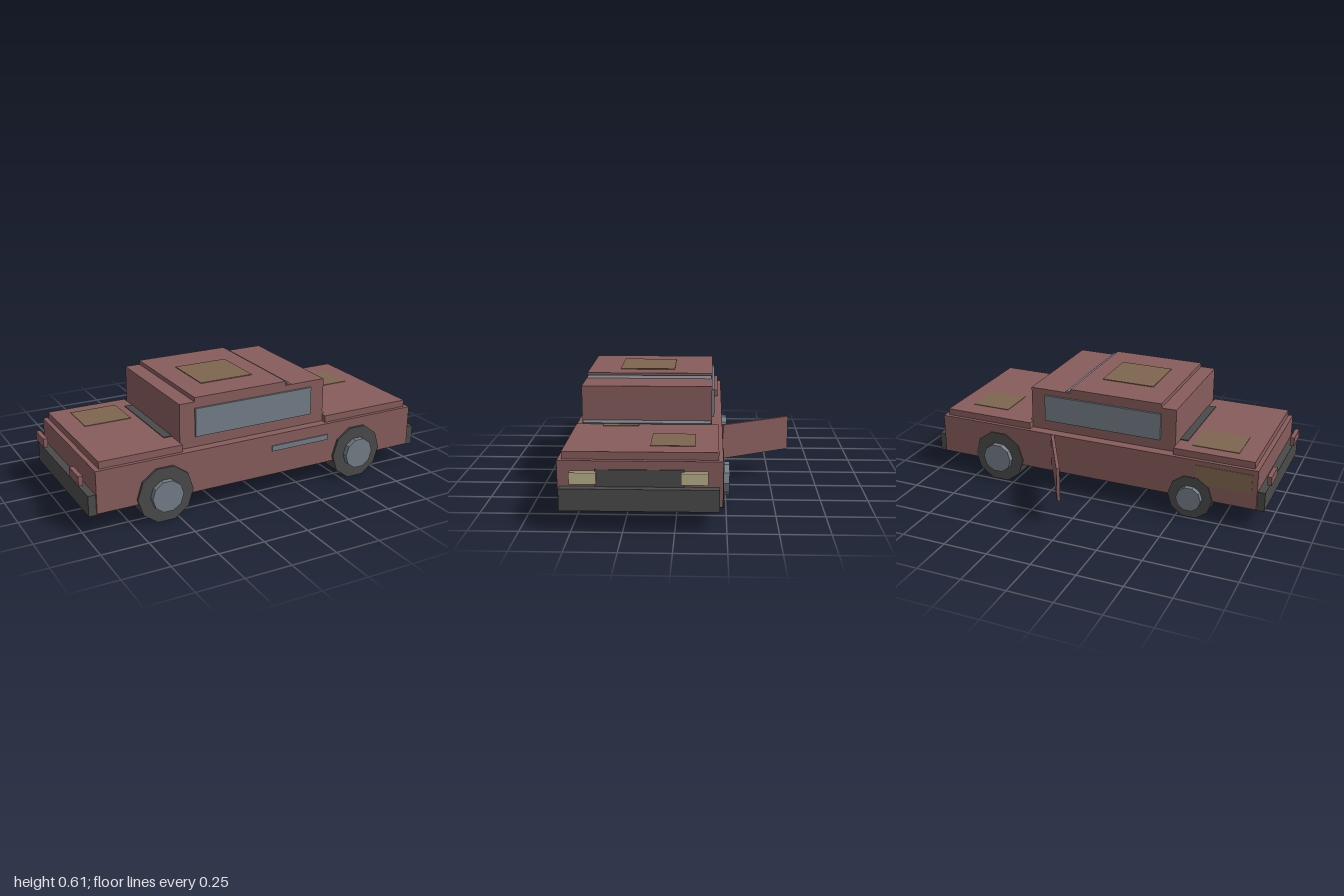
import * as THREE from 'three';

const mat = (name, color) => {
  const m = new THREE.MeshStandardMaterial({ color });
  m.name = name;
  return m;
};

export function createModel() {
  const car = new THREE.Group();
  car.name = 'oldCar';
  const paint = mat('fadedRed', 0x875c5c);
  const dark = mat('darkRubber', 0x4a4a4a);
  const glass = mat('blueGrey', 0x737e87);
  const lamp = mat('paleYellow', 0xbab28a);
  const rust = mat('rust', 0x7f664f);

  // Box given by its extents along each axis
  const box = (name, m, [x0, x1], [y0, y1], [z0, z1]) => {
    const mesh = new THREE.Mesh(new THREE.BoxGeometry(x1 - x0, y1 - y0, z1 - z0), m);
    mesh.position.set((x0 + x1) / 2, (y0 + y1) / 2, (z0 + z1) / 2);
    mesh.name = name;
    car.add(mesh);
    return mesh;
  };

  // Bodywork
  box('body', paint, [-0.94, 0.955], [0.12, 0.347], [-0.231, 0.565]);
  box('trunkLid', paint, [-0.915, -0.465], [0.347, 0.385], [-0.21, 0.545]);
  box('hood', paint, [0.395, 0.93], [0.347, 0.385], [-0.21, 0.545]);
  box('cabin', paint, [-0.465, 0.395], [0.347, 0.59], [-0.175, 0.515]);
  box('roof', paint, [-0.38, 0.155], [0.59, 0.613], [-0.175, 0.515]);

  // Glass; the windshield slopes through the cabin so only its edges show
  box('rightWindow', glass, [-0.38, 0.31], [0.405, 0.557], [0.515, 0.527]);
  box('leftWindow', glass, [-0.38, 0.31], [0.405, 0.557], [-0.187, -0.175]);
  const shield = box('windshield', glass, [0.13, 0.445], [0.488, 0.5], [-0.17, 0.51]);
  shield.rotation.z = -Math.atan2(0.207, 0.229);
  box('rearShelf', dark, [-0.51, -0.465], [0.38, 0.389], [-0.095, 0.42]);

  // Bumpers, grille and side trim
  box('frontBumper', dark, [0.955, 1.0], [0.11, 0.22], [-0.215, 0.555]);
  box('rearBumper', dark, [-0.98, -0.935], [0.11, 0.22], [-0.215, 0.555]);
  box('grille', dark, [0.95, 0.961], [0.2, 0.305], [-0.045, 0.385]);
  box('sideTrim', glass, [0.05, 0.4], [0.255, 0.285], [0.563, 0.571]);

  // Lights
  for (const z of [-0.16, 0.375]) {
    box('headlight', lamp, [0.95, 0.985], [0.238, 0.296], [z, z + 0.13]);
    box('tailLight', paint, [-1.0, -0.976], [0.25, 0.3], [z - 0.02, z + 0.11]);
  }

  // Open door, hinged on the far side
  const door = new THREE.Group();
  door.name = 'openDoor';
  const panel = new THREE.Mesh(new THREE.BoxGeometry(0.425, 0.19, 0.018), paint);
  panel.name = 'doorPanel';
  panel.position.x = -0.2125;
  door.add(panel);
  door.position.set(0.243, 0.25, -0.233);
  door.rotation.y = -Math.atan2(0.37, 0.212);
  car.add(door);

  // Rust patches
  box('trunkRust', rust, [-0.81, -0.55], [0.382, 0.388], [-0.14, 0.085]);
  box('hoodRust', rust, [0.6, 0.825], [0.382, 0.388], [-0.095, 0.125]);
  box('hoodEdgeRust', rust, [0.408, 0.445], [0.382, 0.388], [0.21, 0.4]);
  box('roofRust', rust, [-0.255, 0.05], [0.61, 0.617], [0.035, 0.34]);
  box('fenderRust', rust, [-0.91, -0.6], [0.21, 0.32], [-0.234, -0.228]);

  // Ten-sided wheels, one of them undersized
  const disc = (r, w) => new THREE.CylinderGeometry(r, r, w, 10)
    .rotateY(Math.PI / 10).rotateX(Math.PI / 2).toNonIndexed();
  const tyreGeo = disc(0.154, 0.102);
  const hubGeo = disc(0.086, 0.04);
  for (const g of [tyreGeo, hubGeo]) g.computeVertexNormals();
  const wheel = (name, x, side, s) => {
    const g = new THREE.Group();
    g.name = name;
    const tyre = new THREE.Mesh(tyreGeo, dark);
    tyre.name = 'tyre';
    const hub = new THREE.Mesh(hubGeo, glass);
    hub.name = 'hub';
    hub.position.z = side * 0.06;
    g.add(tyre, hub);
    g.scale.set(s, s, 1);
    g.position.set(x, 0.1465 * s + 0.003, side > 0 ? 0.527 : -0.187);
    car.add(g);
  };
  wheel('frontRightWheel', 0.59, 1, 1);
  wheel('rearRightWheel', -0.575, 1, 1);
  wheel('frontLeftWheel', 0.59, -1, 1);
  wheel('rearLeftWheel', -0.575, -1, 0.82);

  return car;
}
